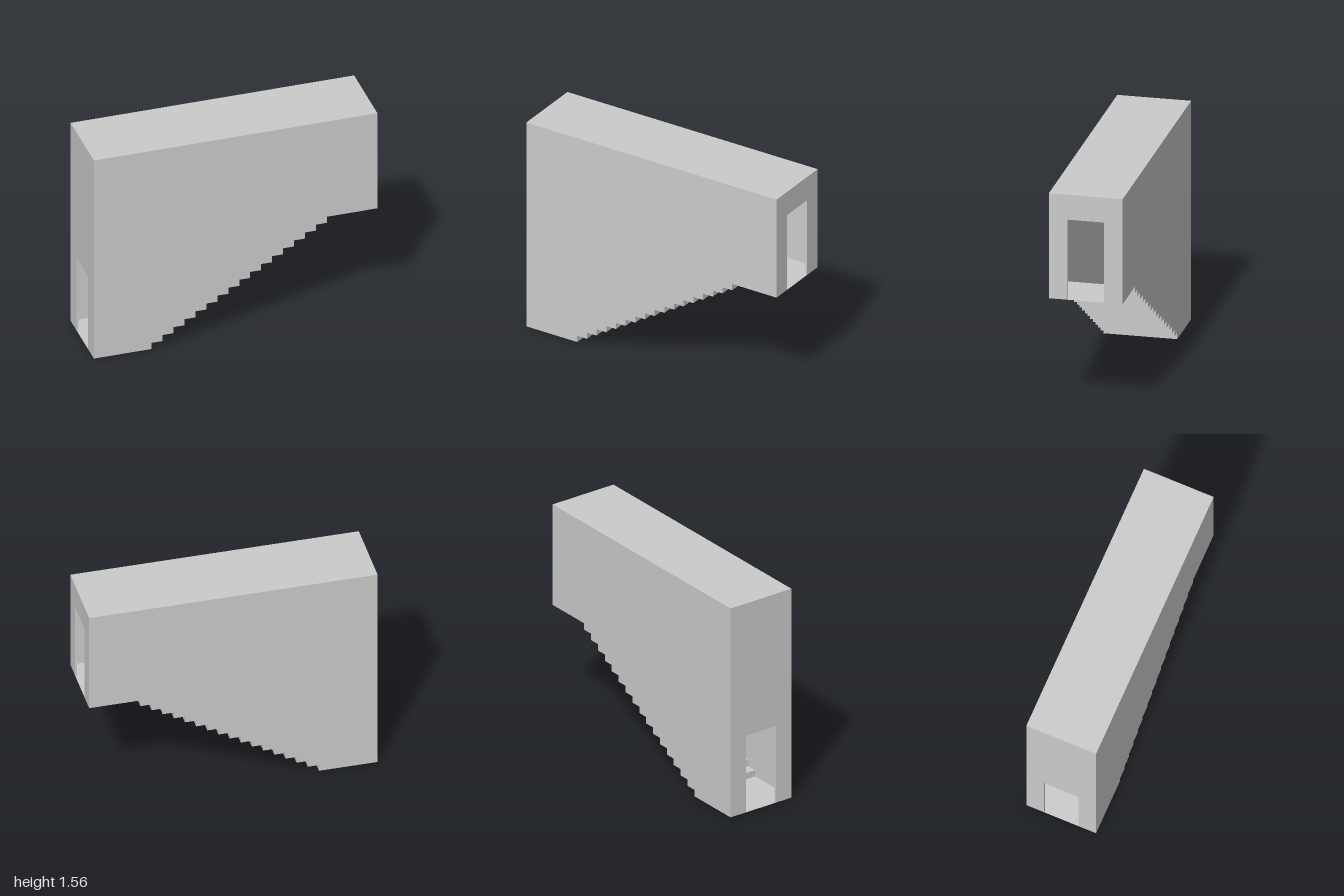
import * as THREE from 'three';

const L = 1, W = 0.255, TOP = 1.56, RISE = 0.81;      // half length, half width, roof, upper landing
const STEPS = 17, X0 = -0.593, X1 = 0.645;            // first and last riser
const SLOPE = [[-0.7, 0], [0.61, RISE]];              // lower edge of the side walls
const DOOR = { half: 0.135, height: 0.582, trim: 0.01, depth: 0.014 };

const material = new THREE.MeshStandardMaterial({ color: 0xcccccc, side: THREE.DoubleSide });

const shapeOf = (pts) => new THREE.Shape(pts.map(([x, y]) => new THREE.Vector2(x, y)));

function add(parent, name, geometry) {
  const mesh = new THREE.Mesh(geometry, material);
  mesh.name = name;
  parent.add(mesh);
  return mesh;
}

// Zigzag of risers and treads, from the foot to the upper landing
function stairProfile() {
  const pts = [];
  const run = (X1 - X0) / (STEPS - 1), rise = RISE / STEPS;
  for (let i = 0; i < STEPS; i++) {
    pts.push([X0 + i * run, i * rise], [X0 + i * run, (i + 1) * rise]);
  }
  return pts;
}

// Sheet swept across the full width along an x/y profile, flat shaded
function sheet(profile) {
  const pos = [];
  for (let i = 0; i < profile.length - 1; i++) {
    const [ax, ay] = profile[i], [bx, by] = profile[i + 1];
    pos.push(ax, ay, W, bx, by, W, bx, by, -W, ax, ay, W, bx, by, -W, ax, ay, -W);
  }
  const g = new THREE.BufferGeometry();
  g.setAttribute('position', new THREE.Float32BufferAttribute(pos, 3));
  g.computeVertexNormals();
  return g;
}

// End wall with a doorway open down to the floor, plus a thin door trim
function endWall(name, floor) {
  const group = new THREE.Group();
  group.name = name;
  const { half, height, trim, depth } = DOOR;
  const head = floor + height, inner = half - trim;
  add(group, 'wallPanel', new THREE.ShapeGeometry(shapeOf([
    [-W, floor], [-half, floor], [-half, head], [half, head],
    [half, floor], [W, floor], [W, TOP], [-W, TOP],
  ])));
  const frame = add(group, 'doorFrame', new THREE.ExtrudeGeometry(shapeOf([
    [-half, floor], [-inner, floor], [-inner, head - trim], [inner, head - trim],
    [inner, floor], [half, floor], [half, head], [-half, head],
  ]), { depth, bevelEnabled: false }));
  frame.position.z = -depth;
  return group;
}

export function createModel() {
  const model = new THREE.Group();
  model.name = 'enclosedStairwell';
  const steps = stairProfile();

  // Side walls with the stringer strip that closes them down to the steps
  for (const [side, z] of [['left', W], ['right', -W]]) {
    const wall = new THREE.Group();
    wall.name = side === 'left' ? 'frontSide' : 'backSide';
    wall.position.z = z;
    if (z < 0) wall.rotation.y = Math.PI;
    const m = z < 0 ? -1 : 1;
    const flip = (pts) => shapeOf(pts.map(([x, y]) => [x * m, y]));
    add(wall, 'sideWall', new THREE.ShapeGeometry(flip(
      [[-L, 0], ...SLOPE, [L, RISE], [L, TOP], [-L, TOP]])));
    add(wall, 'stringer', new THREE.ShapeGeometry(flip(
      [SLOPE[0], ...steps, SLOPE[1]])));
    model.add(wall);
  }

  // Landings, steps and roof
  add(model, 'lowerLanding', sheet([[-L, 0], [X0, 0]]));
  add(model, 'steps', sheet(steps));
  add(model, 'upperLanding', sheet([[X1, RISE], [L, RISE]]));
  add(model, 'roof', sheet([[-L, TOP], [L, TOP]]));

  // Doorways at both ends
  const upper = endWall('upperEnd', RISE);
  upper.position.x = L;
  upper.rotation.y = Math.PI / 2;
  const lower = endWall('lowerEnd', 0);
  lower.position.x = -L;
  lower.rotation.y = -Math.PI / 2;
  model.add(upper, lower);

  return model;
}
